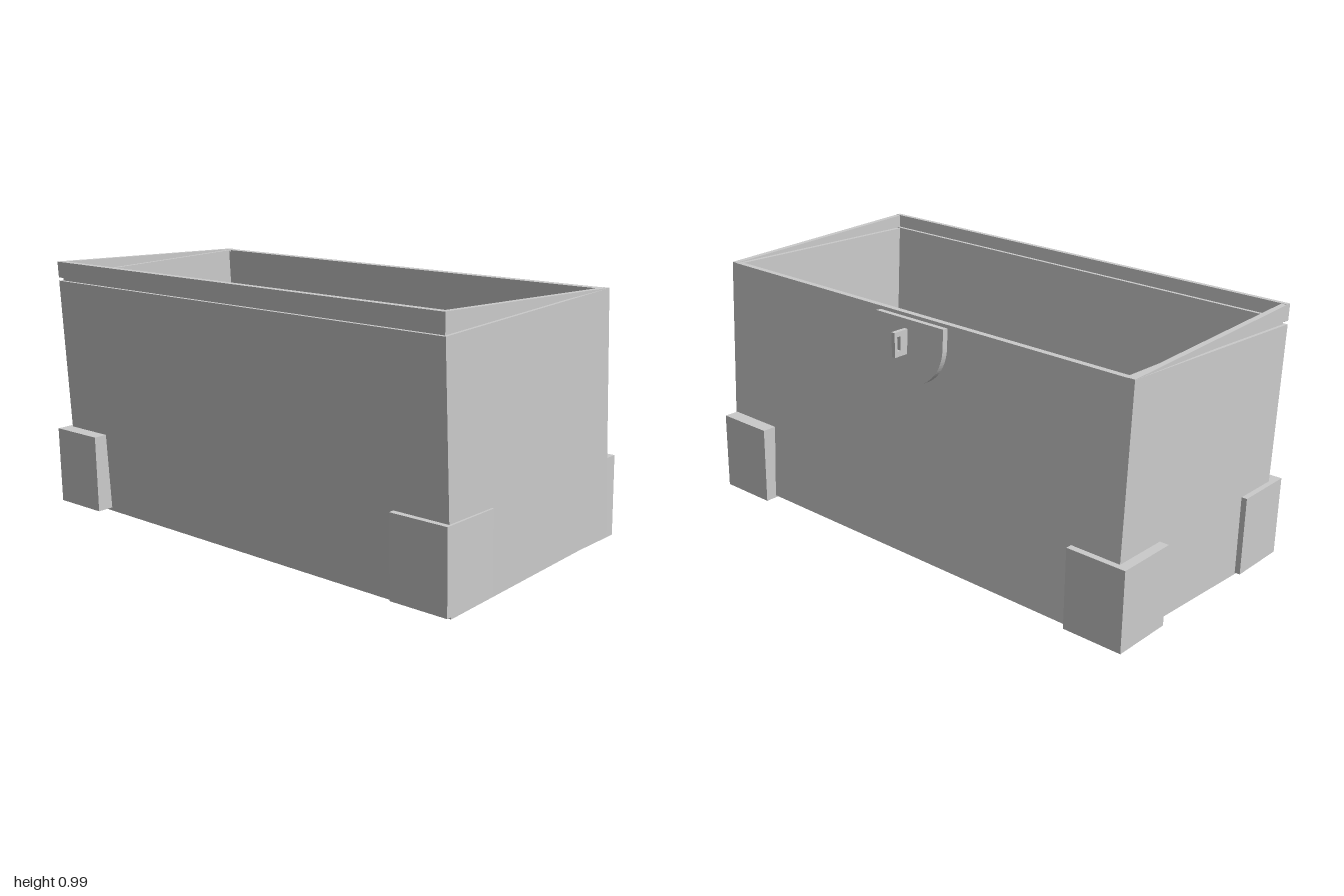
import * as THREE from 'three';

const material = new THREE.MeshStandardMaterial({ color: 0xcccccc, flatShading: true });

export function createModel() {
  const model = new THREE.Group();
  model.name = 'openChest';

  const add = (parent, name, geometry, x = 0, y = 0, z = 0) => {
    const mesh = new THREE.Mesh(geometry, material);
    mesh.name = name;
    mesh.position.set(x, y, z);
    parent.add(mesh);
    return mesh;
  };
  const box = (parent, name, w, h, d, x, y, z) =>
    add(parent, name, new THREE.BoxGeometry(w, h, d), x, y, z);

  // Prism with a side profile of [z, y] points, centred on x
  const sidePrism = (points, width, hole) => {
    const shape = new THREE.Shape(points.map(p => new THREE.Vector2(...p)));
    if (hole) shape.holes.push(new THREE.Path(hole.map(p => new THREE.Vector2(...p))));
    return new THREE.ExtrudeGeometry(shape, { depth: width, bevelEnabled: false })
      .translate(0, 0, -width / 2).rotateY(-Math.PI / 2);
  };

  // The chest leans forward and is turned a little
  const chest = new THREE.Group();
  chest.name = 'chest';
  chest.position.set(0.01, 0.032, -0.02);
  chest.rotation.set(0.065, 0.042, -0.003, 'YXZ');
  model.add(chest);

  // Walls and floor in one hollow body
  const W = 0.9525, D = 0.455, H = 0.905, T = 0.026;
  const rect = (Type, w, d) => new Type([[-w, -d], [w, -d], [w, d], [-w, d]].map(p => new THREE.Vector2(...p)));
  const outline = rect(THREE.Shape, W, D);
  outline.holes.push(rect(THREE.Path, W - T, D - T));
  add(chest, 'walls', new THREE.ExtrudeGeometry(outline, { depth: H, bevelEnabled: false }).rotateX(-Math.PI / 2));
  box(chest, 'floor', 2 * (W - T), 0.03, 2 * (D - T), 0, 0.015, 0);

  // Tapering rim: tall front strip, side wedges running out at the back
  box(chest, 'rimFront', 2 * W, 0.062, 0.022, 0, 0.949, D - 0.011);
  box(chest, 'rimFrontLip', 2 * W - 0.024, 0.03, 0.026, 0, H + 0.01, D - 0.025);
  for (const side of [-1, 1]) {
    add(chest, 'rimSide', sidePrism([[D - 0.02, 0.919], [D - 0.02, 0.979], [-D, H + 0.001], [-D, H]], 0.022),
      side * (W - 0.011));
    add(chest, 'rimSideLip', sidePrism([[D - 0.012, 0.9], [D - 0.012, 0.928], [-D + 0.01, H], [-D + 0.01, 0.9]], 0.026),
      side * (W - 0.025));
  }

  // Corner blocks, each set a little differently
  const corners = [
    ['frontRightFoot', -0.828, 0.169, 0.42],
    ['frontLeftFoot', 0.87, 0.166, 0.315],
    ['backRightFoot', -0.875, 0.203, -0.325],
    ['backLeftFoot', 0.826, 0.198, -0.43],
  ];
  for (const [name, x, y, z] of corners) {
    box(model, name, 0.233, 0.3, 0.242, x, y, z).rotation.set(0.026, 0.05, 0, 'YXZ');
  }

  // Rounded lock plate on the back
  const plate = new THREE.Shape();
  plate.moveTo(0.16, 0);
  plate.lineTo(-0.16, 0);
  plate.lineTo(-0.16, -0.07);
  plate.absarc(0, -0.07, 0.16, Math.PI, Math.PI * 2, false);
  plate.lineTo(0.16, 0);
  add(chest, 'lockPlate',
    new THREE.ExtrudeGeometry(plate, { depth: 0.03, bevelEnabled: false, curveSegments: 20 }),
    -0.025, H - 0.012, -D - 0.022);

  // Upright staple with a slot
  add(model, 'staple', sidePrism(
    [[-0.5, 0.83], [-0.43, 0.83], [-0.43, 0.92], [-0.5, 0.92]], 0.016,
    [[-0.488, 0.85], [-0.488, 0.902], [-0.474, 0.902], [-0.474, 0.85]]), -0.017);

  return model;
}
